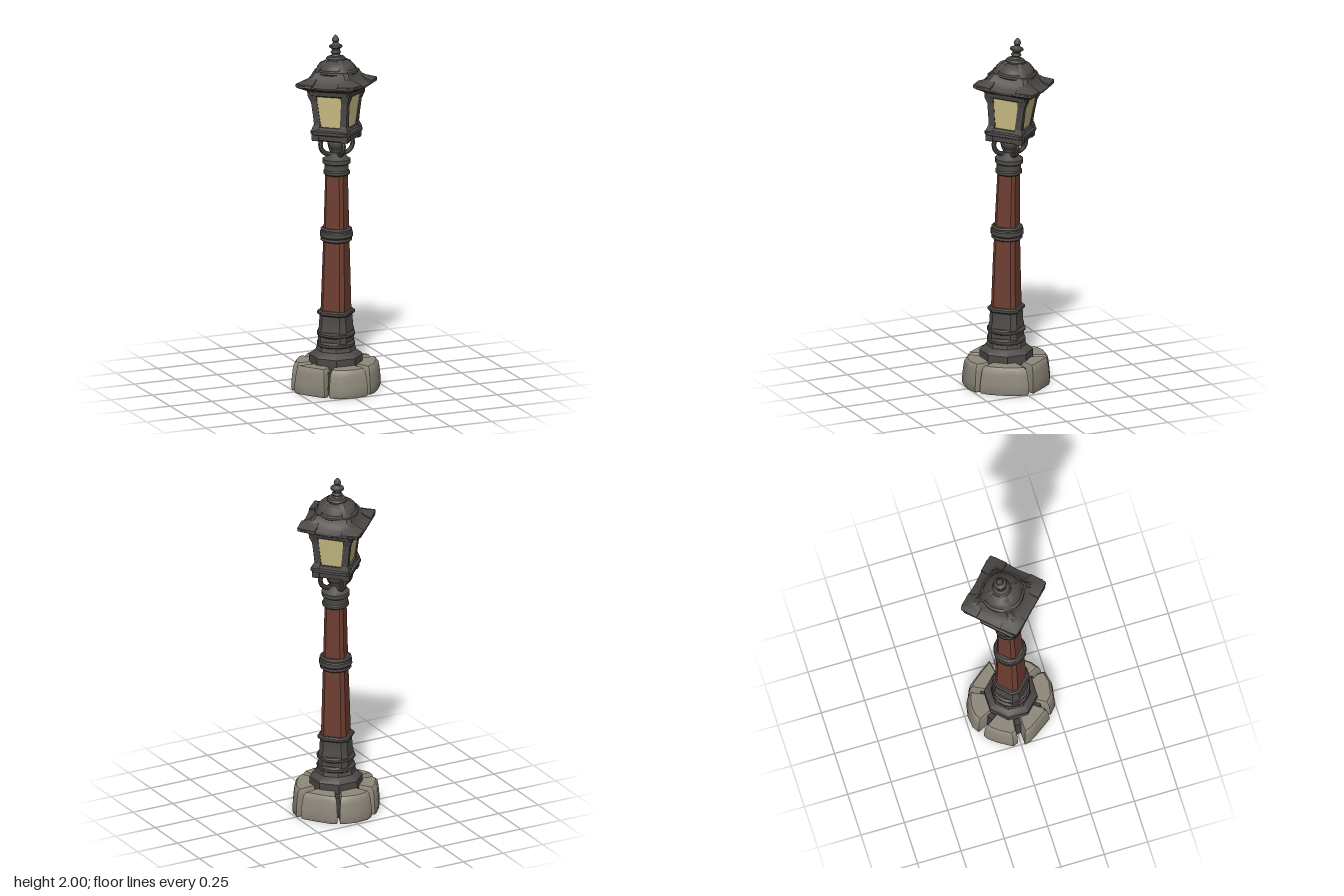
import * as THREE from 'three';
import { toCreasedNormals } from 'three/addons/utils/BufferGeometryUtils.js';

const paint = (name, color) => {
  const m = new THREE.MeshStandardMaterial({ color });
  m.name = name;
  return m;
};
const V = (x, y, z) => new THREE.Vector3(x, y, z);

// Skin a stack of rings (counter-clockwise from above, bottom ring first) and close both ends
function loft(rings, capped = true) {
  const pos = [];
  const tri = (...p) => p.forEach((v) => pos.push(v.x, v.y, v.z));
  const n = rings[0].length;
  for (let i = 0; i < rings.length - 1; i++) {
    const a = rings[i], b = rings[i + 1];
    for (let j = 0; j < n; j++) {
      const k = (j + 1) % n;
      tri(a[j], a[k], b[k]);
      tri(a[j], b[k], b[j]);
    }
  }
  if (capped) {
    for (const [ring, up] of [[rings[0], false], [rings[rings.length - 1], true]]) {
      const c = V(0, 0, 0);
      ring.forEach((p) => c.addScaledVector(p, 1 / n));
      ring.forEach((p, j) => {
        const q = ring[(j + 1) % n];
        if (up) tri(c, p, q); else tri(c, q, p);
      });
    }
  }
  const g = new THREE.BufferGeometry();
  g.setAttribute('position', new THREE.Float32BufferAttribute(pos, 3));
  return g;
}

// Regular n-sided stack from [radius, y] pairs
function turned(n, profile) {
  return loft(profile.map(([r, y]) => Array.from({ length: n }, (_, j) => {
    const a = ((j + 0.5) / n) * Math.PI * 2;
    return V(Math.sin(a) * r, y, Math.cos(a) * r);
  })));
}

// Square stack with clipped corners on the x and z axes, from [corner radius, y, sag] rows
function square(profile, clip = 0.05, capped = true) {
  return loft(profile.map(([r, y, sag = 0]) => {
    const ring = [];
    for (let d = 0; d < 4; d++) {
      const a = (d * Math.PI) / 2, s = Math.sin(a), c = Math.cos(a), w = r * clip;
      ring.push(V(s * r - c * w, y, c * r + s * w), V(s * r + c * w, y, c * r - s * w));
      const m = ((r + w) / 2) * (sag ? 0.97 : 1);
      ring.push(V((s + c) * m, y - sag, (c - s) * m));
    }
    return ring;
  }), capped);
}

// Gentle backward lean that grows with height, with the matching tilt
function lean(g) {
  const p = g.attributes.position;
  for (let i = 0; i < p.count; i++) {
    const x = p.getX(i), y = Math.max(p.getY(i), 0), z = p.getZ(i);
    p.setXYZ(i,
      x - 0.01 + 0.0061 * y * y,
      y + z * 0.105 * Math.pow(y / 2, 2.5) - x * 0.0122 * y,
      z + 0.013 - 0.06 * Math.pow(y / 2, 3.5));
  }
  return g;
}

export function createModel() {
  const metal = paint('dark iron', 0x4c4946);
  const wood = paint('red wood', 0x6e3e31);
  const stone = paint('stone', 0x8f897b);
  const mortar = paint('dark mortar', 0x45413b);
  const glass = paint('warm glass', 0xcfc088);
  const rust = paint('rusty rim', 0x7a3526);
  glass.side = THREE.DoubleSide;

  const model = new THREE.Group();
  model.name = 'streetLamp';
  const add = (name, geo, mat) => {
    const g = geo.index ? geo.toNonIndexed() : geo;
    const mesh = new THREE.Mesh(toCreasedNormals(lean(g), 0.6), mat);
    mesh.name = name;
    model.add(mesh);
  };
  const addFour = (name, geo, mat) => {
    for (let i = 0; i < 4; i++) add(name + (i + 1), geo.clone().rotateY((i * Math.PI) / 2), mat);
  };

  // Ring of six worn foundation stones: outer edge of each as [x, z]
  const stones = [
    [[-.134, .205], [-.09, .245], [.01, .262], [.083, .245], [.085, .205]],
    [[.105, .227], [.15, .195], [.196, .134], [.24, .06], [.252, -.005]],
    [[.24, -.035], [.19, -.107], [.125, -.19], [.1, -.2]],
    [[.088, -.205], [.06, -.222], [-.01, -.236], [-.08, -.228], [-.116, -.205]],
    [[-.145, -.184], [-.17, -.168], [-.205, -.125], [-.253, -.045], [-.24, -.015]],
    [[-.262, .018], [-.255, .05], [-.23, .09], [-.157, .193], [-.135, .185]],
  ];
  stones.forEach((edge, i) => {
    const outer = edge.map(([x, z]) => V(x + 0.01, 0, z - 0.013));
    const outline = [...outer, outer[outer.length - 1].clone().multiplyScalar(0.3), outer[0].clone().multiplyScalar(0.3)];
    const mid = V(0, 0, 0);
    outline.forEach((p) => mid.addScaledVector(p, 0.75 / outline.length));
    const levels = [[0, .05], [.015, 0], [.06, .02], [.115, .07], [.143, .12], [.157, .22]];
    add('foundationStone' + (i + 1), loft(levels.map(([y, t]) =>
      outline.map((p) => p.clone().lerp(mid, t).setY(y)))), stone);
  });
  add('foundationCore', turned(12, [[.185, .012], [.175, .13]]), mortar);

  // Iron plinth, pedestal and their mouldings
  add('plinth', turned(8, [[.148, .14], [.148, .195], [.138, .207], [.112, .225], [.104, .25]]), metal);
  const ring = (name, r, y0, y1) => {
    const b = (y1 - y0) * 0.3;
    add(name, turned(16, [[r - .012, y0], [r, y0 + b], [r, y1 - b], [r - .012, y1]]), metal);
  };
  ring('lowerMoulding', .107, .243, .278);
  ring('upperMoulding', .107, .303, .333);
  add('pedestal', square([[.1, .24], [.1, .34], [.094, .36], [.091, .43]], .2), metal);
  add('pedestalFlange', square([[.094, .425], [.102, .433], [.102, .446], [.094, .453]], .25), metal);

  // Wooden post with iron bands
  add('post', square([[.086, .44], [.078, .7], [.071, .92], [.063, 1.23]], .18), wood);
  add('middleBand', turned(16, [[.078, .842], [.088, .85], [.086, .864], [.092, .872], [.092, .896],
    [.086, .902], [.088, .912], [.078, .92]]), metal);
  add('topCollar', turned(16, [[.066, 1.218], [.074, 1.226], [.074, 1.24], [.068, 1.246], [.068, 1.278],
    [.078, 1.285], [.078, 1.308], [.06, 1.318], [.046, 1.335], [.028, 1.345],
    [.03, 1.36], [.046, 1.378], [.05, 1.4], [.04, 1.43]]), metal);

  // Curved arms carrying the lantern
  const armPath = new THREE.CatmullRomCurve3([V(0, 1.335, .02), V(0, 1.34, .06), V(0, 1.362, .088),
    V(0, 1.395, .097), V(0, 1.43, .088)]);
  addFour('arm', new THREE.TubeGeometry(armPath, 12, .0135, 8), metal);

  // Lantern floor, glazing and frame
  add('lanternFloor', square([[.1, 1.415], [.13, 1.425], [.134, 1.452], [.15, 1.458], [.15, 1.474],
    [.134, 1.48], [.128, 1.498]], .1), metal);
  add('glassPanes', square([[.12, 1.49], [.153, 1.69]], .04, false), glass);
  const prism = (rows) => loft(rows.map(([r, z, y]) =>
    [V(0, y, z + r), V(r, y, z), V(0, y, z - r), V(-r, y, z)]));
  addFour('cornerPost', prism([[.028, .104, 1.48], [.026, .115, 1.56], [.028, .134, 1.7]]), metal);
  addFour('postFoot', prism([[.026, .121, 1.42], [.03, .121, 1.43], [.03, .122, 1.482], [.026, .112, 1.51]]), metal);
  addFour('postBracket', prism([[.027, .128, 1.64], [.034, .137, 1.67], [.036, .141, 1.71]]), metal);
  add('topRail', square([[.155, 1.672], [.164, 1.678], [.17, 1.7], [.178, 1.712]], .06), metal);

  // Flared roof skirt with a rusty rim
  add('roofUnderside', square([[.17, 1.7], [.232, 1.724, .012]], .04), metal);
  add('roofRim', square([[.231, 1.724, .012], [.236, 1.732, .012]], .04), rust);
  add('roofSkirt', square([[.235, 1.732, .012], [.232, 1.738, .011], [.195, 1.748, .006], [.163, 1.766, .002],
    [.14, 1.792], [.132, 1.806]], .1), metal);

  // Raised corner tiles running into ridges: [distance, half width, centre y, side y]
  const tile = (thick, drop) => {
    const rows = [[.05, .018, 1.872, 1.866], [.085, .02, 1.856, 1.848], [.113, .024, 1.825, 1.815],
      [.128, .032, 1.796, 1.78], [.15, .052, 1.78, 1.757], [.18, .074, 1.766, 1.743], [.244, .004, 1.748, 1.747]];
    return loft(rows.map(([d, w, yc, ys]) => [
      V(-w, ys - drop, d), V(-w, ys - drop - thick, d), V(0, yc - drop - thick, d),
      V(w, ys - drop - thick, d), V(w, ys - drop, d), V(0, yc - drop, d)]));
  };
  addFour('cornerTile', tile(.013, 0), metal);
  addFour('cornerTileRim', tile(.005, .013), rust);

  // Domed crown and finial
  add('crown', turned(24, [[.112, 1.79], [.122, 1.797], [.12, 1.808], [.108, 1.815], [.104, 1.83],
    [.088, 1.848], [.062, 1.86], [.054, 1.863]]), metal);
  add('finial', turned(16, [[.054, 1.858], [.055, 1.872], [.046, 1.882], [.028, 1.886], [.022, 1.896],
    [.03, 1.905], [.022, 1.915], [.024, 1.925], [.038, 1.935], [.036, 1.944], [.02, 1.952],
    [.014, 1.96], [.02, 1.97], [.019, 1.98], [.01, 1.994], [.003, 2.001]]), metal);

  return model;
}
